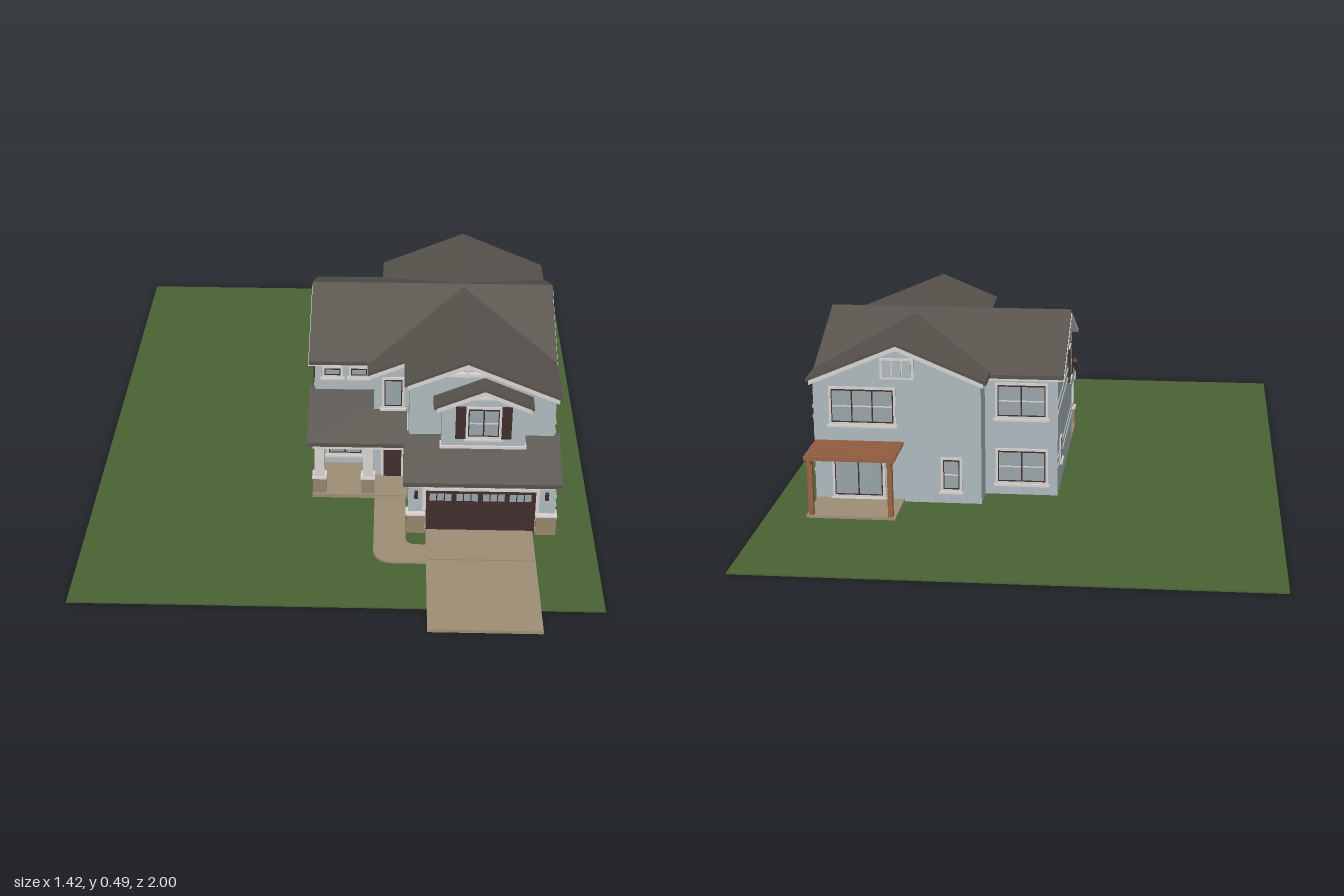
import * as THREE from 'three';

const mat = (name, color) => Object.assign(new THREE.MeshStandardMaterial({ color }), { name });
const M = {
  lawn: mat('lawn green', 0x4a6335), roof: mat('roof shingle', 0x57524c),
  wall: mat('siding blue grey', 0xaeb9bd), trim: mat('trim white', 0xd6d3d0),
  dark: mat('dark brown', 0x3f2e2d), glass: mat('glass grey', 0x98a3a7),
  stone: mat('stone tan', 0x95866c), paving: mat('paving beige', 0x9e8e76),
  wood: mat('pergola wood', 0x9a6243),
};
const SLOPE = 0.42;

export function createModel() {
  const root = new THREE.Group();
  root.name = 'house';

  const add = (name, geo, m, parent = root) => {
    const mesh = new THREE.Mesh(geo, m);
    mesh.name = name;
    parent.add(mesh);
    return mesh;
  };
  // Box given by its limits on each axis
  const box = (name, m, x0, x1, y0, y1, z0, z1, parent = root) => {
    const mesh = add(name, new THREE.BoxGeometry(x1 - x0, y1 - y0, z1 - z0), m, parent);
    mesh.position.set((x0 + x1) / 2, (y0 + y1) / 2, (z0 + z1) / 2);
    return mesh;
  };
  const shapeOf = pts => new THREE.Shape(pts.map(p => new THREE.Vector2(p[0], p[1])));
  // Section in x,y extruded along z
  const prismZ = (name, m, pts, z0, z1) => {
    const g = new THREE.ExtrudeGeometry(shapeOf(pts), { depth: z1 - z0, bevelEnabled: false });
    return add(name, g.translate(0, 0, z0), m);
  };
  // Section in z,y extruded along x
  const prismX = (name, m, pts, x0, x1) => {
    const g = new THREE.ExtrudeGeometry(shapeOf(pts.map(p => [-p[0], p[1]])), { depth: x1 - x0, bevelEnabled: false });
    return add(name, g.rotateY(Math.PI / 2).translate(x0, 0, 0), m);
  };
  const chevron = (c, peak, l, r, t) => {
    const top = [[l, peak - SLOPE * (c - l)], [c, peak], [r, peak - SLOPE * (r - c)]];
    return [...top, ...top.map(p => [p[0], p[1] - t]).reverse()];
  };
  // Shingle layer over a white soffit and rake layer
  const gableRoof = (name, prism, c, peak, l, r, a, b, a2 = a, b2 = b) => {
    prism(name, M.roof, chevron(c, peak, l, r, 0.011), a, b);
    prism(name + 'Trim', M.trim, chevron(c, peak - 0.01, l + 0.008, r - 0.008, 0.012), a2, b2);
  };
  const gableWall = (name, prism, c, peak, l, r, a, b, base = 0.004) => {
    const p = peak - 0.018;
    prism(name, M.wall, [[l, base], [r, base], [r, p - SLOPE * (r - c)], [c, p], [l, p - SLOPE * (c - l)]], a, b);
  };

  // Ground and paving
  box('lawn', M.lawn, -0.713, 0.71, 0, 0.004, -1, 0.9);
  box('driveway', M.paving, 0.24, 0.54, 0.002, 0.011, 0.69, 1);
  box('drivewayApron', M.paving, 0.24, 0.54, 0.002, 0.011, 0.53, 0.685);
  box('patio', M.paving, 0.345, 0.595, 0.002, 0.011, -0.585, -0.42);
  box('porchFloor', M.paving, -0.085, 0.19, 0.002, 0.015, 0.19, 0.375);
  const walk = new THREE.Shape();
  walk.moveTo(0.095, 0.37);
  walk.lineTo(0.095, 0.64);
  walk.quadraticCurveTo(0.095, 0.7, 0.155, 0.7);
  walk.lineTo(0.24, 0.7);
  walk.lineTo(0.24, 0.615);
  walk.lineTo(0.215, 0.615);
  walk.quadraticCurveTo(0.185, 0.615, 0.185, 0.585);
  walk.lineTo(0.185, 0.37);
  add('walkway', new THREE.ExtrudeGeometry(walk, { depth: 0.008, bevelEnabled: false }).rotateX(Math.PI / 2), M.paving).position.y = 0.01;

  // Walls
  gableWall('mainWalls', prismX, -0.06, 0.487, -0.34, 0.2, -0.083, 0.6);
  gableWall('frontWingWalls', prismZ, 0.35, 0.482, 0.19, 0.6, 0.1, 0.4);
  prismZ('entryWalls', M.wall, [[0.09, 0.004], [0.2, 0.004], [0.2, 0.4], [0.09, 0.354]], 0.1, 0.265);
  gableWall('backWingWalls', prismZ, 0.36, 0.474, 0.125, 0.6, -0.43, -0.1);
  prismX('garageWalls', M.wall, [[0.39, 0.004], [0.535, 0.004], [0.535, 0.165], [0.39, 0.226]], 0.19, 0.6);
  gableWall('bayWalls', prismZ, 0.397, 0.421, 0.28, 0.515, 0.38, 0.445, 0.205);

  // Roofs
  gableRoof('mainRoof', prismX, -0.06, 0.487, -0.355, 0.222, -0.1, 0.615, -0.102, 0.617);
  gableRoof('frontWingRoof', prismZ, 0.35, 0.482, 0.175, 0.615, -0.06, 0.42, -0.06, 0.422);
  prismZ('entryRoof', M.roof, [[0.07, 0.3644], [0.3, 0.461], [0.3, 0.45], [0.07, 0.3534]], 0.05, 0.28);
  prismZ('entryRoofTrim', M.trim, [[0.078, 0.357], [0.3, 0.45], [0.3, 0.438], [0.078, 0.345]], 0.05, 0.282);
  gableRoof('backWingRoof', prismZ, 0.36, 0.474, 0.108, 0.615, -0.452, -0.06, -0.454, -0.06);
  gableRoof('bayRoof', prismZ, 0.397, 0.421, 0.257, 0.535, 0.39, 0.462, 0.39, 0.464);
  prismX('garageRoof', M.roof, [[0.557, 0.173], [0.39, 0.242], [0.39, 0.23], [0.557, 0.161]], 0.175, 0.615);
  prismX('porchRoof', M.roof, [[0.38, 0.19], [0.19, 0.27], [0.19, 0.258], [0.38, 0.178]], -0.1, 0.185);
  for (const x of [-0.083, 0.18])
    prismX('porchGableEnd', M.wall, [[0.365, 0.175], [0.365, 0.182], [0.2, 0.252], [0.2, 0.175]], x, x + 0.01);
  box('garageFascia', M.trim, 0.18, 0.61, 0.157, 0.165, 0.535, 0.553);
  box('gableTie', M.trim, 0.265, 0.435, 0.431, 0.44, 0.4, 0.416);
  box('gablePost', M.trim, 0.345, 0.355, 0.43, 0.468, 0.4, 0.416);
  box('bayTie', M.trim, 0.34, 0.454, 0.383, 0.39, 0.445, 0.459);
  box('baySkirt', M.trim, 0.276, 0.519, 0.222, 0.23, 0.39, 0.45);

  // Siding belts on the side walls
  for (const y of [0.25, 0.28, 0.092, 0.12]) {
    const z1 = y > 0.2 ? 0.4 : 0.535;
    box('sidingBelt', M.wall, 0.599, 0.603, y - 0.004, y + 0.004, -0.43, z1);
    box('sidingBelt', M.wall, -0.086, -0.082, y - 0.004, y + 0.004, -0.34, 0.2);
  }

  // Framed window: u runs across the wall, turn faces it outwards
  const win = (name, x, y, z, w, h, turn, { panes = 1, sash = true, shutters = 0, sides = [-1, 1] } = {}) => {
    const g = new THREE.Group();
    g.name = name;
    g.position.set(x, y, z);
    g.rotation.y = turn * Math.PI / 2;
    root.add(g);
    const a = w / 2, b = h / 2;
    box('frame', M.trim, -a, a, -b, b, -0.002, 0.004, g);
    box('sashBorder', M.dark, -a + 0.007, a - 0.007, -b + 0.007, b - 0.007, 0, 0.005, g);
    const pw = (w - 0.016) / panes;
    for (let i = 0; i < panes; i++) {
      const u = -a + 0.008 + i * pw;
      box('glass', M.glass, u + 0.002, u + pw - 0.002, -b + 0.011, b - 0.011, 0, 0.006, g);
      if (sash) box('sashRail', M.trim, u + 0.002, u + pw - 0.002, -0.002, 0.002, 0, 0.007, g);
    }
    if (shutters) for (const s of sides)
      box('shutter', M.dark, s * (a + shutters / 2) - shutters / 2, s * (a + shutters / 2) + shutters / 2, -b, b, -0.002, 0.007, g);
    box('sill', M.trim, -a - 0.005, a + 0.005, -b - 0.007, -b, -0.002, 0.009, g);
  };
  // Front
  win('bayWindow', 0.397, 0.305, 0.445, 0.1, 0.1, 0, { panes: 2, shutters: 0.028 });
  win('entryUpperWindow', 0.145, 0.295, 0.265, 0.065, 0.1, 0, { sash: false });
  for (const x of [-0.032, 0.045]) win('smallFrontWindow', x, 0.326, 0.2, 0.06, 0.036, 0, { sash: false });
  win('porchWindow', 0.005, 0.095, 0.2, 0.11, 0.1, 0, { panes: 2 });
  // Right wall
  win('rightWindow', 0.6, 0.09, -0.09, 0.055, 0.1, 1, { shutters: 0.025, sides: [1] });
  win('rightWindow', 0.6, 0.09, -0.36, 0.055, 0.1, 1, { shutters: 0.025, sides: [-1] });
  win('rightSmallWindow', 0.6, 0.318, 0.087, 0.08, 0.038, 1, { sash: false });
  // Back
  win('backTripleWindow', 0.46, 0.285, -0.43, 0.19, 0.11, 2, { panes: 3 });
  win('backSmallWindow', 0.21, 0.09, -0.43, 0.06, 0.1, 2);
  win('patioDoor', 0.475, 0.082, -0.43, 0.15, 0.135, 2, { panes: 2, sash: false });
  for (const y of [0.285, 0.09]) win('backLeftWindow', 0.02, y, -0.34, 0.15, 0.105, 2, { panes: 2 });
  // Left wall
  win('leftUpperWindow', -0.083, 0.285, 0.09, 0.08, 0.1, -1, { shutters: 0.022 });
  win('leftLowerWindow', -0.083, 0.12, -0.25, 0.05, 0.07, -1);

  // Louvred gable vents
  const vent = (x, y, z, w, turn) => {
    const g = new THREE.Group();
    g.name = 'gableVent';
    g.position.set(x, y, z);
    g.rotation.y = turn * Math.PI / 2;
    root.add(g);
    box('ventFrame', M.trim, -w / 2, w / 2, -0.03, 0.03, -0.002, 0.005, g);
    for (let i = -1; i <= 1; i++) {
      const u = i * w * 0.3, q = w * 0.13;
      box('ventPanel', M.wall, u - q, u + q, -0.024, 0.024, 0, 0.007, g);
    }
  };
  vent(0.6, 0.408, -0.06, 0.095, 1);
  vent(-0.083, 0.408, -0.06, 0.095, -1);
  vent(0.36, 0.395, -0.43, 0.095, 2);

  // Garage door with panels and a window row
  box('garageDoorFrame', M.trim, 0.23, 0.555, 0.004, 0.145, 0.533, 0.538);
  box('garageDoor', M.dark, 0.24, 0.545, 0.006, 0.137, 0.533, 0.541);
  for (let i = 0; i < 4; i++) {
    const x = 0.25 + i * 0.074;
    for (const k of [0, 1, 2]) box('garageGlass', M.glass, x + k * 0.021, x + k * 0.021 + 0.018, 0.108, 0.13, 0.534, 0.543);
    for (const y of [0.014, 0.045, 0.076]) box('garagePanel', M.dark, x, x + 0.06, y, y + 0.024, 0.534, 0.544);
  }
  // Stone piers and lamps beside the garage
  for (const [x0, x1] of [[0.186, 0.238], [0.547, 0.604]]) {
    box('stonePier', M.stone, x0, x1, 0.004, 0.062, 0.515, 0.55);
    box('pierCap', M.trim, x0 - 0.002, x1 + 0.002, 0.062, 0.067, 0.513, 0.552);
    const c = (x0 + x1) / 2;
    box('wallLamp', M.dark, c - 0.005, c + 0.005, 0.115, 0.135, 0.535, 0.546);
  }

  // Entry door
  box('entryFrame', M.trim, 0.112, 0.178, 0.012, 0.145, 0.263, 0.269);
  box('entryDoor', M.dark, 0.119, 0.171, 0.015, 0.138, 0.263, 0.271);
  for (const x of [0.125, 0.148]) for (const [y0, y1] of [[0.025, 0.068], [0.076, 0.128]])
    box('doorPanel', M.dark, x, x + 0.017, y0, y1, 0.265, 0.274);

  // Porch columns and beam
  for (const x of [-0.065, 0.075]) {
    box('columnBase', M.stone, x - 0.019, x + 0.019, 0.004, 0.062, 0.33, 0.368);
    box('columnCap', M.trim, x - 0.021, x + 0.021, 0.062, 0.068, 0.328, 0.37);
    box('column', M.trim, x - 0.014, x + 0.014, 0.068, 0.165, 0.335, 0.363);
  }
  box('porchBeam', M.trim, -0.085, 0.19, 0.16, 0.18, 0.338, 0.362);
  box('porchCeiling', M.trim, -0.083, 0.19, 0.172, 0.178, 0.2, 0.36);

  // Pergola
  for (const x of [0.36, 0.582]) {
    box('pergolaPost', M.wood, x - 0.007, x + 0.007, 0.005, 0.165, -0.58, -0.566);
    box('pergolaBeam', M.wood, x - 0.006, x + 0.006, 0.16, 0.174, -0.595, -0.43);
  }
  for (let i = 0; i < 8; i++) {
    const z = -0.587 + i * 0.021;
    box('pergolaSlat', M.wood, 0.345, 0.597, 0.172, 0.184, z - 0.004, z + 0.004);
  }
  return root;
}
